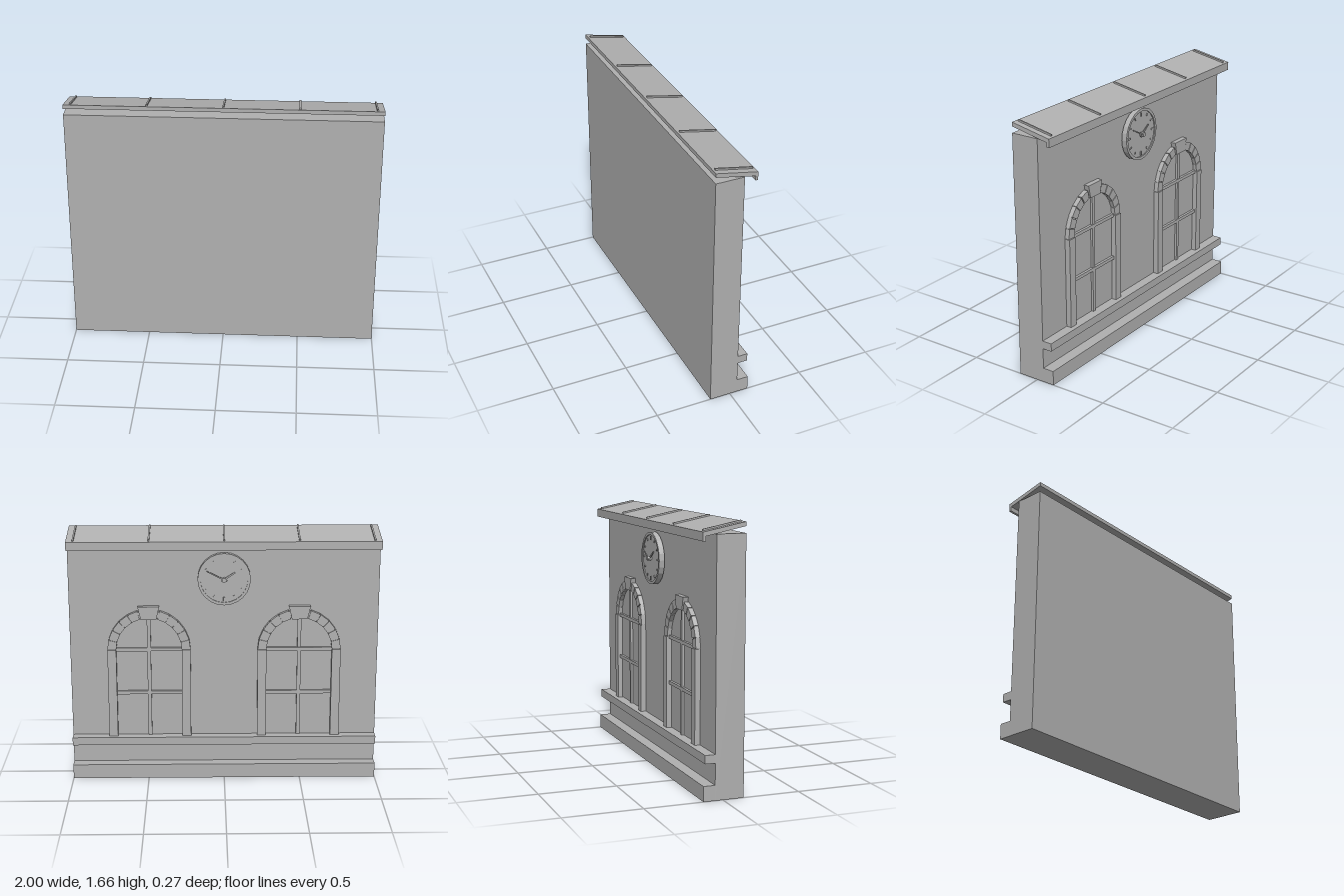
import * as THREE from 'three';

export function createModel() {
  const model = new THREE.Group();
  const stone = new THREE.MeshStandardMaterial({ color: 0xb0b0b0, flatShading: true });
  stone.name = 'grey stone';

  const add = (parent, name, geometry, x = 0, y = 0, z = 0) => {
    const mesh = new THREE.Mesh(geometry, stone);
    mesh.name = name;
    mesh.position.set(x, y, z);
    parent.add(mesh);
    return mesh;
  };
  // Box given by its lower and upper corners
  const block = (parent, name, [x0, y0, z0], [x1, y1, z1]) =>
    add(parent, name, new THREE.BoxGeometry(x1 - x0, y1 - y0, z1 - z0),
      (x0 + x1) / 2, (y0 + y1) / 2, (z0 + z1) / 2);
  const extrude = (shape, depth, curveSegments = 12) =>
    new THREE.ExtrudeGeometry(shape, { depth, bevelEnabled: false, curveSegments });
  // Wedge of an arch between two angles
  const wedge = (r0, r1, a0, a1) => {
    const s = new THREE.Shape();
    s.moveTo(r0 * Math.cos(a0), r0 * Math.sin(a0));
    s.lineTo(r1 * Math.cos(a0), r1 * Math.sin(a0));
    s.lineTo(r1 * Math.cos(a1), r1 * Math.sin(a1));
    s.lineTo(r0 * Math.cos(a1), r0 * Math.sin(a1));
    return s;
  };

  // The decorated side looks towards -z; built facing +z and turned round
  const facade = new THREE.Group();
  facade.name = 'facade';
  facade.rotation.y = Math.PI;
  model.add(facade);

  block(facade, 'wall', [-1, 0, -0.135], [1, 1.587, 0.05]);
  block(facade, 'plinth', [-1, 0, 0.05], [1, 0.095, 0.125]);
  block(facade, 'sillBand', [-1, 0.23, 0.05], [1, 0.283, 0.115]);

  // Sloping roof with a drip lip, profile drawn in z and y
  const profile = new THREE.Shape([
    [-0.135, 1.654], [-0.135, 1.628], [0.119, 1.576], [0.119, 1.547],
    [0.135, 1.547], [0.135, 1.601],
  ].map(([z, y]) => new THREE.Vector2(z, y)));
  const roof = add(facade, 'roof', extrude(profile, 2), 1, 0, 0);
  roof.rotation.y = -Math.PI / 2;

  // Raised seams along the slope
  for (const x of [-0.955, -0.478, 0, 0.478, 0.955]) {
    const seam = add(facade, 'roofSeam', new THREE.BoxGeometry(0.01, 0.014, 0.245), x, 1.631, 0);
    seam.rotation.x = Math.atan2(0.053, 0.27);
  }

  // Arched windows
  const springY = 0.875, inner = 0.213, outer = 0.27, step = Math.PI / 12;
  const buildWindow = (cx) => {
    const win = new THREE.Group();
    win.name = 'archedWindow';
    win.position.x = cx;
    facade.add(win);

    const pane = new THREE.Shape();
    pane.moveTo(-inner, 0.285);
    pane.lineTo(inner, 0.285);
    pane.lineTo(inner, springY);
    pane.absarc(0, springY, inner, 0, Math.PI);
    add(win, 'pane', extrude(pane, 0.004), 0, 0, 0.049);

    for (const s of [-1, 1]) {
      const mid = s * (inner + outer) / 2, half = (outer - inner) / 2;
      block(win, 'jamb', [mid - half, 0.283, 0.05], [mid + half, springY, 0.085]);
    }
    // Arch stones with fine joints, and a larger keystone
    const joint = 0.012;
    for (let i = 0; i < 12; i++) {
      if (i === 5 || i === 6) continue;
      const stoneShape = wedge(inner, outer, i * step + joint, (i + 1) * step - joint);
      add(win, 'archStone', extrude(stoneShape, 0.03), 0, springY, 0.05);
    }
    add(win, 'archBed', extrude(archRing(inner + 0.004, outer - 0.006), 0.024), 0, springY, 0.05);
    const key = new THREE.Shape([[-0.05, 0.205], [0.05, 0.205], [0.07, 0.29], [-0.07, 0.29]]
      .map(([x, y]) => new THREE.Vector2(x, y)));
    add(win, 'keystone', extrude(key, 0.035), 0, springY, 0.05);

    // Glazing bars
    block(win, 'verticalBar', [-0.012, 0.285, 0.05], [0.012, springY + inner, 0.068]);
    for (const y of [0.58, springY]) {
      block(win, 'horizontalBar', [-inner, y - 0.011, 0.05], [inner, y + 0.011, 0.07]);
    }
  };
  function archRing(r0, r1) {
    const s = new THREE.Shape();
    s.absarc(0, 0, r1, 0, Math.PI, false);
    s.absarc(0, 0, r0, Math.PI, 0, true);
    return s;
  }
  buildWindow(-0.488);
  buildWindow(0.488);

  // Clock
  const clock = new THREE.Group();
  clock.name = 'clock';
  clock.position.set(0, 1.348, 0);
  facade.add(clock);
  const dial = add(clock, 'clockDial', new THREE.CylinderGeometry(0.16, 0.16, 0.028, 24), 0, 0, 0.075);
  dial.rotation.x = Math.PI / 2;
  const rim = new THREE.Shape().absarc(0, 0, 0.17, 0, Math.PI * 2);
  rim.holes.push(new THREE.Path().absarc(0, 0, 0.152, 0, Math.PI * 2, true));
  add(clock, 'clockRim', extrude(rim, 0.036), 0, 0, 0.06);
  for (let i = 0; i < 12; i++) {
    const a = i * Math.PI / 6, major = i % 3 === 0;
    const mark = add(clock, 'hourMark',
      new THREE.BoxGeometry(major ? 0.012 : 0.007, major ? 0.026 : 0.016, 0.006),
      Math.sin(a) * 0.13, Math.cos(a) * 0.13, 0.091);
    mark.rotation.z = -a;
  }
  // Hands as tapered plates, angle measured clockwise from twelve
  const hand = (name, length, width, angle, z) => {
    const s = new THREE.Shape([[-width, -0.02], [width, -0.02], [width * 0.6, length], [-width * 0.6, length]]
      .map(([x, y]) => new THREE.Vector2(x, y)));
    add(clock, name, extrude(s, 0.006), 0, 0, z).rotation.z = -angle;
  };
  hand('hourHand', 0.085, 0.007, Math.PI * 0.31, 0.097);
  hand('minuteHand', 0.125, 0.005, -Math.PI * 0.35, 0.105);
  const hub = add(clock, 'handHub', new THREE.CylinderGeometry(0.014, 0.014, 0.032, 12), 0, 0, 0.102);
  hub.rotation.x = Math.PI / 2;

  return model;
}
